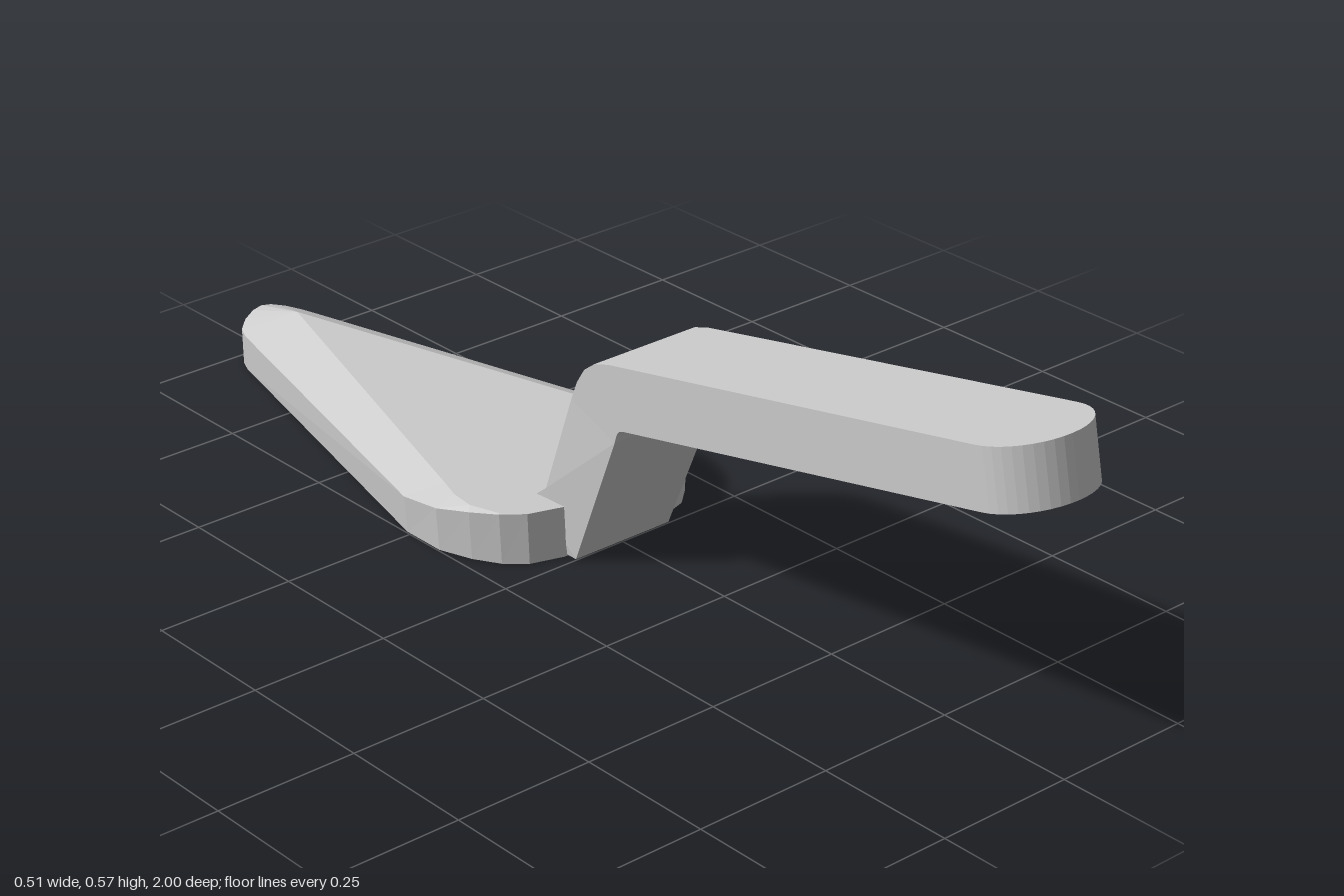
import * as THREE from 'three';

const material = new THREE.MeshStandardMaterial({ color: 0xcccccc, flatShading: true });

// Skins a stack of equal-length rings and closes both ends with fans.
function loft(name, rings) {
  const out = [];
  const tri = (a, b, c) => {
    const area = b.clone().sub(a).cross(c.clone().sub(a)).length();
    if (area > 1e-8) for (const p of [a, b, c]) out.push(p.x, p.y, p.z);
  };
  const n = rings[0].length;
  for (let i = 0; i < rings.length - 1; i++) {
    for (let j = 0; j < n; j++) {
      const k = (j + 1) % n;
      tri(rings[i][j], rings[i][k], rings[i + 1][k]);
      tri(rings[i][j], rings[i + 1][k], rings[i + 1][j]);
    }
  }
  const cap = (ring) => {
    const mid = new THREE.Vector3();
    ring.forEach((p) => mid.addScaledVector(p, 1 / n));
    ring.forEach((p, j) => tri(mid, p, ring[(j + 1) % n]));
  };
  cap([...rings[0]].reverse());
  cap(rings[rings.length - 1]);
  const geometry = new THREE.BufferGeometry();
  geometry.setAttribute('position', new THREE.Float32BufferAttribute(out, 3));
  geometry.computeVertexNormals();
  const mesh = new THREE.Mesh(geometry, material);
  mesh.name = name;
  return mesh;
}

// Mirrors a half outline (first and last points on the centre line) into a ring.
function mirrorRing(half) {
  const right = half.map((p) => new THREE.Vector3(...p));
  const left = right.slice(1, -1).reverse().map((p) => new THREE.Vector3(-p.x, p.y, p.z));
  return [...right, ...left];
}

function createBlade() {
  const topY = (z) => 0.092 - 0.02 * z;
  // Rim: x, rim height, z, then x and z of the flat top's matching corner
  const half = [
    [0, 0.092, -0.02, 0, -0.02],
    [0.11, 0.092, -0.022, 0.11, -0.022],
    [0.17, 0.093, -0.04, 0.17, -0.04],
    [0.205, 0.092, -0.07, 0.203, -0.072],
    [0.232, 0.088, -0.115, 0.222, -0.125],
    [0.253, 0.079, -0.175, 0.218, -0.17],
    [0.253, 0.068, -0.26, 0.205, -0.21],
    [0.077, 0.066, -0.945, 0, -0.89],
    [0.066, 0.068, -0.97, 0, -0.89],
    [0.045, 0.075, -0.988, 0, -0.89],
    [0.02, 0.082, -0.998, 0, -0.89],
    [0, 0.085, -1, 0, -0.89],
  ];
  return loft('blade', [
    mirrorRing(half.map(([x, , z]) => [x * 0.977, 0, z])),
    mirrorRing(half.map(([x, y, z]) => [x, y, z])),
    mirrorRing(half.map(([, , , x, z]) => [x, topY(z), z])),
  ]);
}

function createHandle() {
  const W = 0.107;
  const stations = []; // upper z, y, half width; lower z, y, half width
  // Rounded grip end
  for (let i = 0; i <= 10; i++) {
    const a = (i / 10) * Math.PI / 2;
    const s = 0.09 * (1 - Math.cos(a));
    const w = W * Math.sin(a);
    stations.push([0.98 - s, 0.566 - 0.198 * s, w, 1 - s, 0.466 - 0.21 * s, w]);
  }
  // Bend, sloping neck and the small flare where it meets the blade
  stations.push(
    [0.09, 0.388, W, 0.125, 0.283, W],
    [0.055, 0.377, W, 0.116, 0.28, W],
    [0.03, 0.358, W, 0.111, 0.275, W],
    [0.012, 0.33, W, 0.108, 0.268, W],
    [-0.002, 0.295, W, 0.104, 0.255, W],
    [-0.063, 0.112, 0.111, 0, 0.002, 0.101],
    [-0.09, 0.09, 0.113, -0.03, 0.002, 0.101],
  );
  const rings = stations.map(([zt, yt, wt, zb, yb, wb]) => [
    new THREE.Vector3(-wt, yt, zt),
    new THREE.Vector3(wt, yt, zt),
    new THREE.Vector3(wb, yb, zb),
    new THREE.Vector3(-wb, yb, zb),
  ]);
  return loft('handle', rings);
}

export function createModel() {
  const model = new THREE.Group();
  model.name = 'trowel';
  model.add(createBlade(), createHandle());
  return model;
}
